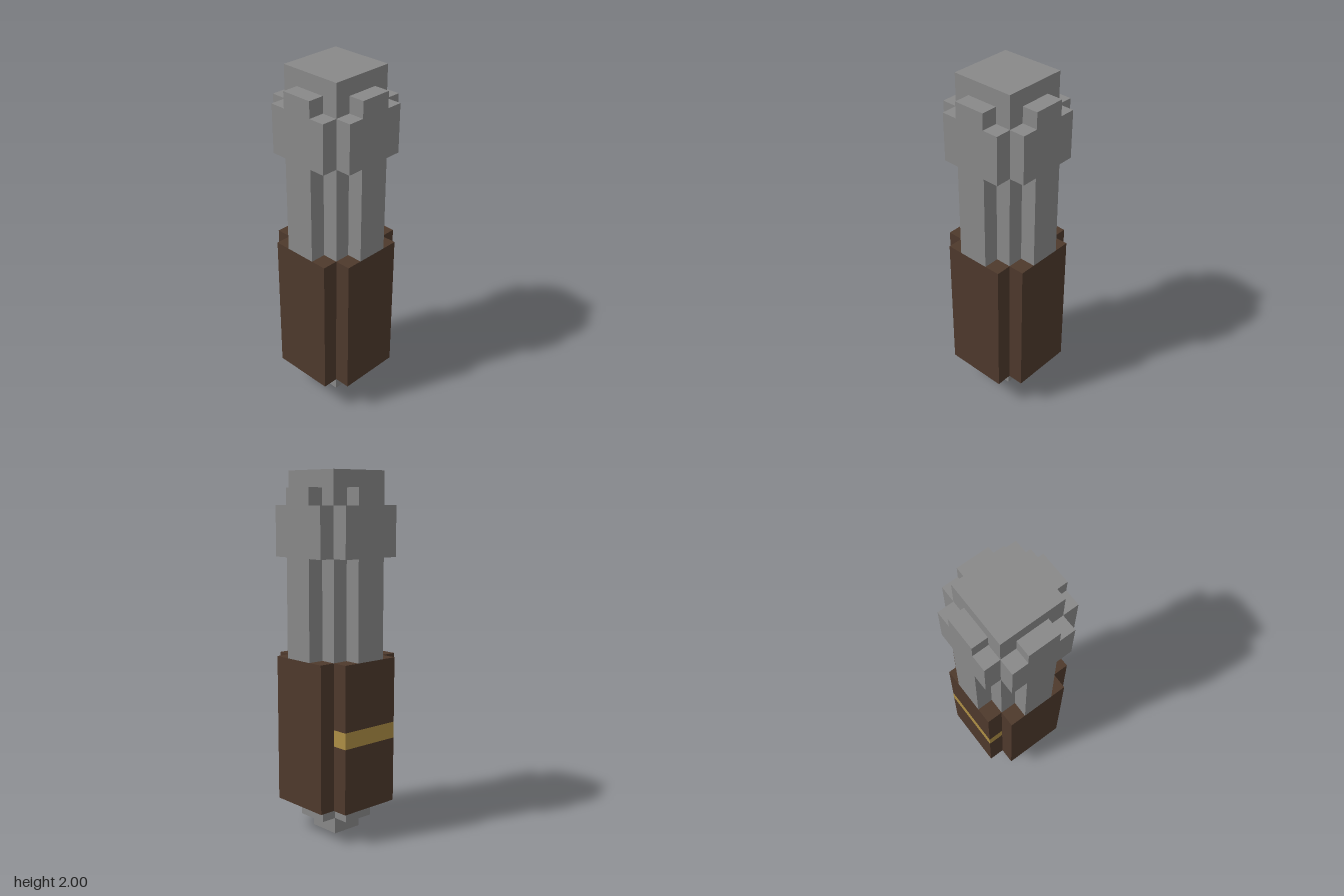
import * as THREE from 'three';

const U = 2 / 22; // one block

const grey = new THREE.MeshStandardMaterial({ color: 0x898989 });
grey.name = 'grey metal';
const brown = new THREE.MeshStandardMaterial({ color: 0x4e392c });
brown.name = 'brown leather';
const gold = new THREE.MeshStandardMaterial({ color: 0xae8f45 });
gold.name = 'gold';

// Box given by its centre in x and z, its bottom and its size, in blocks
function block(name, material, [w, h, d], bottom, z = 0) {
  const mesh = new THREE.Mesh(new THREE.BoxGeometry(w * U, h * U, d * U), material);
  mesh.position.set(0, (bottom + h / 2) * U, z * U);
  mesh.name = name;
  return mesh;
}

// Stepped T-shaped flange: narrow stem, wide head, small cap
function flangeGeometry() {
  const half = [[1, 11], [1, 17], [2, 17], [2, 20], [1, 20], [1, 21]];
  const outline = [...half, ...half.map(([x, y]) => [-x, y]).reverse()];
  const shape = new THREE.Shape(outline.map(([x, y]) => new THREE.Vector2(x * U, y * U)));
  const geometry = new THREE.ExtrudeGeometry(shape, { depth: U, bevelEnabled: false });
  return geometry.translate(0, 0, 2 * U);
}

export function createModel() {
  const model = new THREE.Group();
  model.name = 'mace';

  // Pommel: square tip below a small cross
  const pommel = new THREE.Group();
  pommel.name = 'pommel';
  pommel.add(
    block('pommelTip', grey, [2, 1, 2], 0),
    block('pommelCrossBar', grey, [4, 1, 2], 1),
    block('pommelFrontArm', grey, [2, 1, 1], 1, 1.5),
    block('pommelBackArm', grey, [2, 1, 1], 1, -1.5),
  );

  // Grip: cross-shaped prism, with a gold band round the back arm
  const grip = new THREE.Group();
  grip.name = 'grip';
  grip.add(
    block('gripBody', brown, [6, 9, 4], 2),
    block('gripFront', brown, [4, 9, 1], 2, 2.5),
    block('gripBackLower', brown, [4, 4, 1], 2, -2.5),
    block('gripBackBand', gold, [4, 1, 1], 6, -2.5),
    block('gripBackUpper', brown, [4, 4, 1], 7, -2.5),
  );

  // Head: square core with a flange on each side
  const head = new THREE.Group();
  head.name = 'head';
  head.add(block('headCore', grey, [4, 11, 4], 11));
  const flange = flangeGeometry();
  ['front', 'left', 'back', 'right'].forEach((side, i) => {
    const mesh = new THREE.Mesh(flange, grey);
    mesh.rotation.y = (i * Math.PI) / 2;
    mesh.name = side + 'Flange';
    head.add(mesh);
  });

  model.add(pommel, grip, head);
  return model;
}
